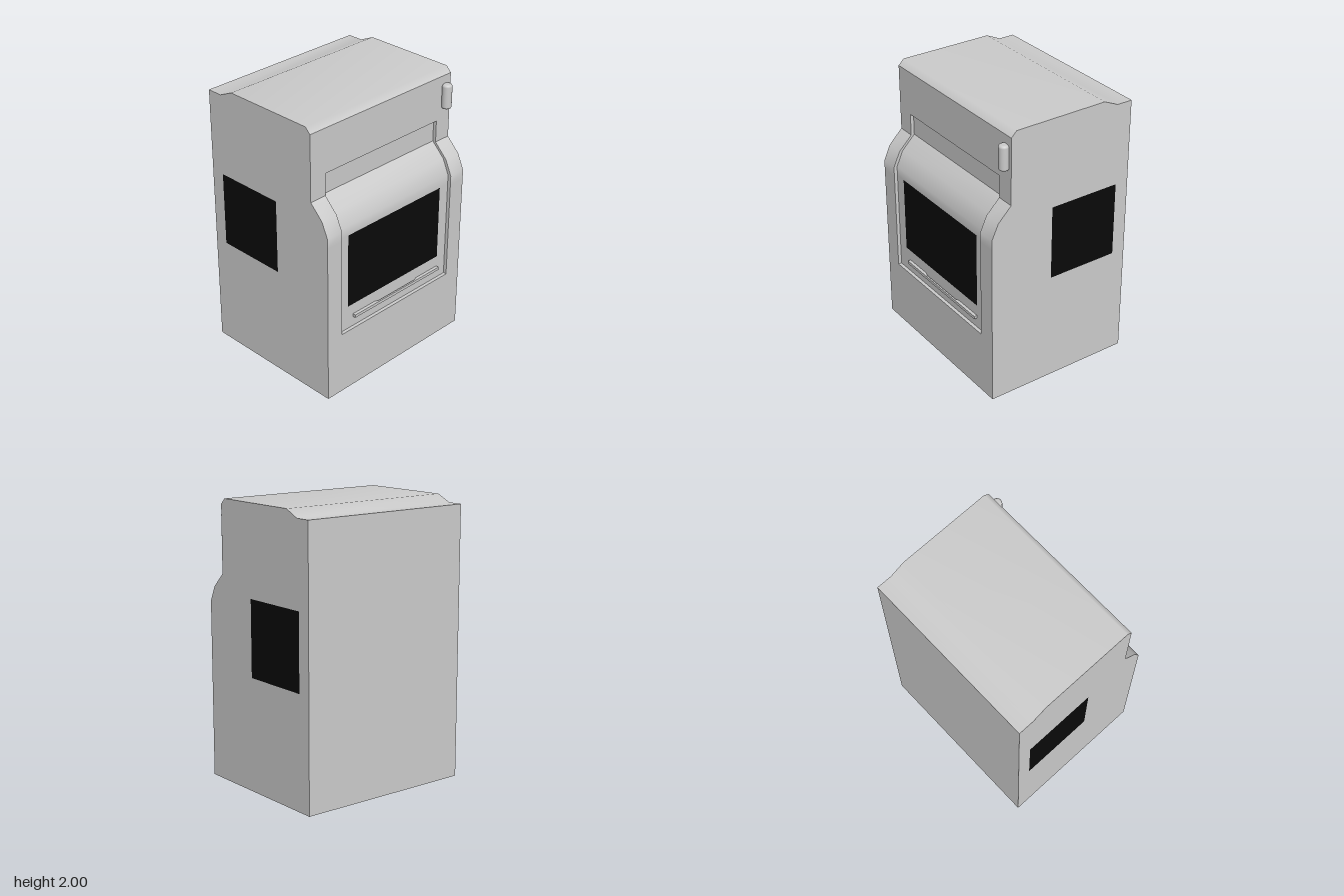
import * as THREE from 'three';

const grey = new THREE.MeshStandardMaterial({ color: 0xcccccc, side: THREE.DoubleSide });
const black = new THREE.MeshStandardMaterial({ color: 0x0a0a0a, side: THREE.DoubleSide });

const W = 0.66;      // half width of the cabinet
const D = 0.53;      // half width of the door recess
const DEPTH = 0.025; // depth of the door recess
const BOTTOM = 0.47, TOP = 1.64; // door recess heights

// Profile pieces as [z, y], running up the front and back over the roof
const curve = [[0.555, 1.2], [0.555, 1.27], [0.505, 1.38], [0.405, 1.48]];
const roof = [[0.405, 1.96], [0.365, 2], [-0.33, 2], [-0.44, 1.95], [-0.555, 1.95]];
const inset = (points) => points.map(([z, y]) => [z - DEPTH, y]);

// Smooth ribbon between two rows of [x, y, z] points
function ribbon(a, b) {
  const index = [];
  for (let i = 0; i < a.length - 1; i++) {
    const j = i + a.length;
    index.push(i, j, j + 1, i, j + 1, i + 1);
  }
  const g = new THREE.BufferGeometry();
  g.setAttribute('position', new THREE.Float32BufferAttribute([...a, ...b].flat(), 3));
  g.setIndex(index);
  g.computeVertexNormals();
  return g;
}

// Sweep a profile sideways from x0 to x1
const strip = (points, x0, x1) => ribbon(
  points.map(([z, y]) => [x0, y, z]),
  points.map(([z, y]) => [x1, y, z]));

const rect = (z0, y0, z1, y1) => [[z0, y0], [z1, y0], [z1, y1], [z0, y1]];

export function createModel() {
  const model = new THREE.Group();
  const add = (name, geometry, material = grey, parent = model) => {
    const mesh = new THREE.Mesh(geometry, material);
    mesh.name = name;
    parent.add(mesh);
    return mesh;
  };

  // Cabinet front, roof and back (open underneath)
  const cabinet = new THREE.Group();
  cabinet.name = 'cabinet';
  model.add(cabinet);
  const shell = (name, points, x0 = -W, x1 = W) => add(name, strip(points, x0, x1), grey, cabinet);
  shell('lowerFront', [[0.555, 0], [0.555, BOTTOM]]);
  for (const [x0, x1] of [[-W, -D], [D, W]]) {
    shell('frontColumn', [[0.555, BOTTOM], [0.555, 1.2]], x0, x1);
    shell('frontColumnCurve', curve, x0, x1);
    shell('upperColumn', [[0.405, 1.48], [0.405, TOP]], x0, x1);
  }
  shell('upperFront', [[0.405, TOP], [0.405, 1.96]]);
  shell('roof', roof);
  shell('back', [[-0.555, 1.95], [-0.555, 0]]);

  // Side walls with a dark panel set in each
  const outline = [[0.555, 0], ...curve.slice(1), ...roof, [-0.555, 0]];
  const panel = rect(-0.455, 0.81, 0.075, 1.355);
  for (const s of [-1, 1]) {
    const flat = (points) => points.map(([z, y]) => new THREE.Vector2(-s * z, y));
    const place = (shape) => new THREE.ShapeGeometry(shape).rotateY(s * Math.PI / 2).translate(s * W, 0, 0);
    const wall = new THREE.Shape(flat(outline));
    wall.holes.push(new THREE.Path(flat(panel)));
    add('sideWall', place(wall), grey, cabinet);
    add('sidePanel', place(new THREE.Shape(flat(panel))), black);
  }

  // Recess walls around the door
  const edge = [[0.555, BOTTOM], ...curve, [0.405, TOP]];
  for (const s of [-1, 1]) {
    const outer = edge.map(([z, y]) => [s * D, y, z]);
    const inner = inset(edge).map(([z, y]) => [s * D, y, z]);
    add('recessSide', s < 0 ? ribbon(outer, inner) : ribbon(inner, outer));
  }
  add('recessLedge', strip([[0.555, BOTTOM], [0.555 - DEPTH, BOTTOM]], -D, D));
  add('recessTop', strip([[0.405 - DEPTH, TOP], [0.405, TOP]], -D, D));

  // Door, following the cabinet profile, framed around the window
  const door = new THREE.Group();
  door.name = 'door';
  model.add(door);
  const leaf = (name, points, x0, x1, material) => add(name, strip(inset(points), x0, x1), material, door);
  const wx = 0.448, wy = 0.645;
  leaf('doorBottom', [[0.555, BOTTOM], [0.555, wy]], -D, D);
  leaf('doorStile', [[0.555, wy], [0.555, 1.2]], -D, -wx);
  leaf('doorStile', [[0.555, wy], [0.555, 1.2]], wx, D);
  leaf('doorWindow', [[0.555, wy], [0.555, 1.2]], -wx, wx, black);
  leaf('doorCurve', curve, -D, D);
  leaf('doorTop', [[0.405, 1.48], [0.405, TOP]], -D, D);

  // Pull bar below the window, hollowed behind for the fingers
  const bar = new THREE.Shape([
    [-0.4, 0.53], [-0.4, 0.553], [0.446, 0.553], [0.446, 0.53],
    [0.23, 0.53], [0.2, 0.541], [-0.16, 0.541], [-0.19, 0.53],
  ].map(([x, z]) => new THREE.Vector2(x, z)));
  const barGeometry = new THREE.ExtrudeGeometry(bar, { depth: 0.022, bevelEnabled: false });
  add('pullBar', barGeometry.rotateX(Math.PI / 2).translate(0, 0.565, 0));

  // Rounded upright handle at the upper left
  const r = 0.036, c = 0.018, h = 0.09;
  const profile = [new THREE.Vector2(0, -h)];
  for (const end of [-1, 1]) {
    for (let i = 0; i <= 4; i++) {
      const t = (end < 0 ? i : 4 - i) * Math.PI / 8;
      profile.push(new THREE.Vector2(r - c + c * Math.sin(t), end * (h - c + c * Math.cos(t))));
    }
  }
  profile.push(new THREE.Vector2(0, h));
  add('handle', new THREE.LatheGeometry(profile, 24)).position.set(0.605, 1.81, 0.424);

  return model;
}
